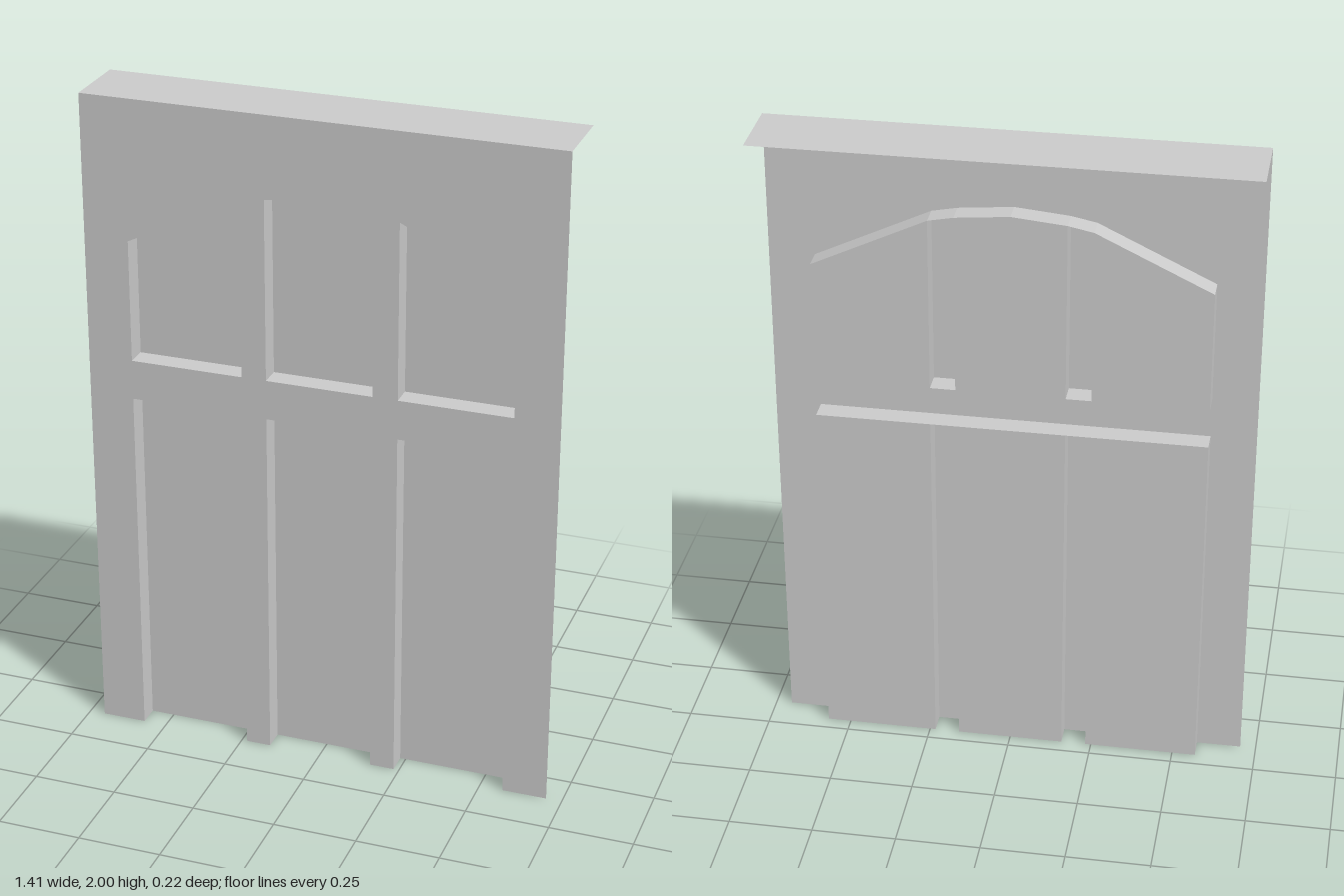
import * as THREE from 'three';

const W = 0.703, H = 2, FRONT = 0.108, BACK = 0.044;
const SIDE = 0.57, OUT = 0.233, IN = 0.159; // opening edge and mullion edges
const SILL = 1.21, HEAD = 1.09;
const ARCH = [[-SIDE, 1.578], [-OUT, 1.74], [-IN, 1.755], [0, 1.77], [IN, 1.755], [OUT, 1.74], [SIDE, 1.578]];

const material = new THREE.MeshStandardMaterial({ color: 0xcccccc, flatShading: true, side: THREE.DoubleSide });
const toPoints = (list) => list.map(([x, y]) => new THREE.Vector2(x, y));

export function createModel() {
  const group = new THREE.Group();

  const add = (name, geometry) => {
    const mesh = new THREE.Mesh(geometry, material);
    mesh.name = name;
    group.add(mesh);
    return mesh;
  };

  // Flat sheet facing +z at a given depth
  const sheet = (name, outline, z, hole) => {
    const shape = new THREE.Shape(toPoints(outline));
    if (hole) shape.holes.push(new THREE.Path(toPoints(hole)));
    add(name, new THREE.ShapeGeometry(shape)).position.z = z;
  };

  // Ribbon that runs along a path and joins the front face to the recessed panels
  const reveal = (name, path) => {
    const positions = [];
    for (let i = 0; i < path.length - 1; i++) {
      const [ax, ay] = path[i], [bx, by] = path[i + 1];
      positions.push(ax, ay, FRONT, ax, ay, BACK, bx, by, BACK);
      positions.push(ax, ay, FRONT, bx, by, BACK, bx, by, FRONT);
    }
    const geometry = new THREE.BufferGeometry();
    geometry.setAttribute('position', new THREE.Float32BufferAttribute(positions, 3));
    geometry.computeVertexNormals();
    add(name, geometry);
  };

  // Arch points between two x values
  const archBetween = (x0, x1) => ARCH.filter(([x]) => x >= x0 && x <= x1);
  const upperOutline = (x0, x1) => [[x0, SILL], ...archBetween(x0, x1), [x1, SILL]];
  const lowerOutline = (x0, x1) => [[x0, 0], [x0, HEAD], [x1, HEAD], [x1, 0]];

  // Front face with arched opening above and open-bottomed opening below
  const upper = upperOutline(-SIDE, SIDE);
  const lower = lowerOutline(-SIDE, SIDE);
  sheet('frontFrame', [[-W, 0], ...lower, [W, 0], [W, H], [-W, H]], FRONT, upper);

  // Walls around both openings
  reveal('upperReveal', [...upper, upper[0]]);
  reveal('lowerReveal', lower);

  // Recessed panels
  for (const [x0, x1] of [[-SIDE, -OUT], [-IN, IN], [OUT, SIDE]]) {
    sheet('upperPanel', upperOutline(x0, x1), BACK);
    sheet('lowerPanel', lowerOutline(x0, x1), BACK);
  }

  // Mullions flush with the frame, hollow at the back
  for (const [x0, x1] of [[-OUT, -IN], [IN, OUT]]) {
    sheet('upperMullion', upperOutline(x0, x1), FRONT);
    sheet('lowerMullion', lowerOutline(x0, x1), FRONT);
    for (const x of [x0, x1]) {
      reveal('upperMullionSide', [[x, SILL], archBetween(x, x)[0]]);
      reveal('lowerMullionSide', [[x, 0], [x, HEAD]]);
    }
  }

  // Top cover reaching backwards
  const top = add('topCover', new THREE.PlaneGeometry(2 * W, 2 * FRONT));
  top.rotation.x = -Math.PI / 2;
  top.position.y = H;

  return group;
}
